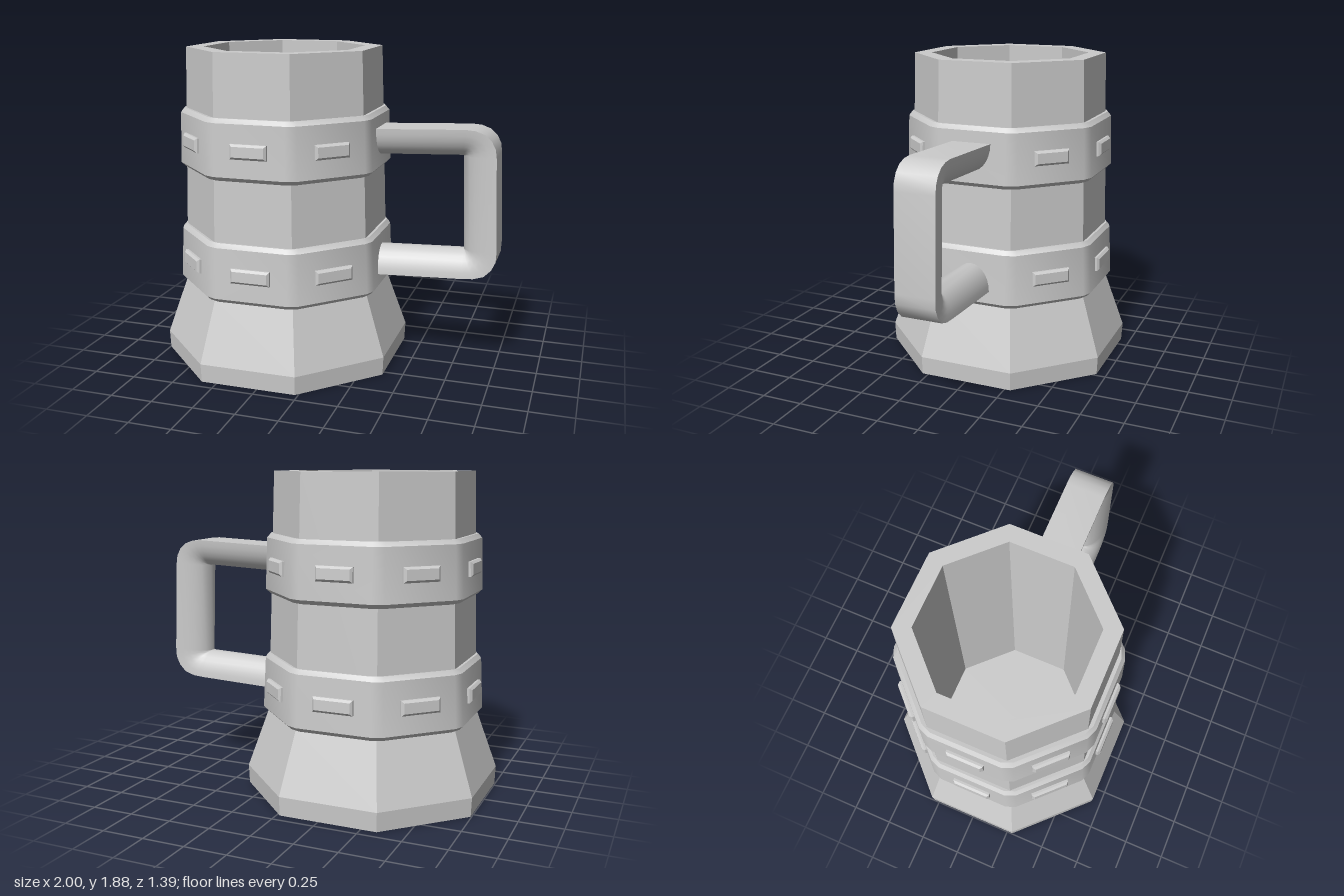
import * as THREE from 'three';
import { toCreasedNormals } from 'three/addons/utils/BufferGeometryUtils.js';

const material = new THREE.MeshStandardMaterial({ color: 0xcccccc, side: THREE.DoubleSide });
const BODY_X = -0.305;

// Skin a series of closed rings that all have the same number of points
function loft(rings, crease) {
  const n = rings[0].length;
  const pos = rings.flat(2);
  const index = [];
  for (let i = 0; i < rings.length - 1; i++) {
    for (let j = 0; j < n; j++) {
      const a = i * n + j, b = i * n + (j + 1) % n;
      index.push(a, a + n, b + n, a, b + n, b);
    }
  }
  const geometry = new THREE.BufferGeometry();
  geometry.setAttribute('position', new THREE.Float32BufferAttribute(pos, 3));
  geometry.setIndex(index);
  return toCreasedNormals(geometry, crease);
}

// Octagon of given apothem with faces on the axes; cut trims its corners
function octagon(apothem, y, cut = 0) {
  const ring = [];
  const half = apothem * Math.tan(Math.PI / 8) - cut;
  for (let k = 0; k < 8; k++) {
    const a = k * Math.PI / 4, c = Math.cos(a), s = Math.sin(a);
    for (const t of cut > 0 ? [-half, half] : [half]) {
      ring.push([apothem * c - t * s, y, apothem * s + t * c]);
    }
  }
  return ring;
}

function mesh(name, geometry) {
  const m = new THREE.Mesh(geometry, material);
  m.name = name;
  return m;
}

// Bevelled rectangular stud facing +z
function studGeometry(w, h) {
  const rect = (inset, z) => {
    const x = Math.max(w / 2 - inset, 0), y = Math.max(h / 2 - inset, 0);
    return [[-x, -y, z], [-x, y, z], [x, y, z], [x, -y, z]];
  };
  return loft([rect(0, -0.02), rect(0, 0.013), rect(0.013, 0.026), rect(1, 0.026)], 0.2);
}

// Band: bevelled hoop with trimmed corners and a stud on every face but the handle's
function createBand(name, y0, rBottom, rTop, studW) {
  const band = new THREE.Group();
  band.name = name;
  const h = 0.35, b = 0.025, cut = 0.035;
  const profile = [
    [rBottom - 0.07, y0 + 0.005], [rBottom - b, y0], [rBottom, y0 + b],
    [rTop, y0 + h - b], [rTop - 0.02, y0 + h], [rTop - 0.07, y0 + h - 0.005],
  ];
  band.add(mesh('hoop', loft(profile.map(([r, y]) => octagon(r, y, cut)), 0.45)));
  const geometry = studGeometry(studW, 0.085);
  for (let k = 0; k < 8; k++) {
    if (k === 2) continue;
    const pivot = new THREE.Group();
    pivot.name = 'studMount';
    pivot.rotation.y = k * Math.PI / 4;
    const stud = mesh('stud', geometry);
    stud.position.set(0, y0 + h / 2, (rBottom + rTop) / 2);
    stud.rotation.x = -0.04;
    pivot.add(stud);
    band.add(pivot);
  }
  band.position.x = BODY_X;
  return band;
}

// Handle: D-shaped section, flat outside and round inside, with rounded outer corners
function createHandle() {
  const upper = [[0.8, 1.453], [0.855, 1.448], [0.905, 1.43], [0.945, 1.395], [0.968, 1.35], [0.975, 1.3]];
  const lower = [[0.998, 0.76], [0.995, 0.7], [0.972, 0.65], [0.93, 0.607], [0.87, 0.588], [0.8, 0.582]];
  const stations = [
    [[0.22, 1.43], [0.22, 1.267]],
    ...upper.map((p) => [p, [0.775, 1.29]]),
    ...lower.map((p) => [p, [0.795, 0.74]]),
    [[0.22, 0.558], [0.22, 0.718]],
  ];
  const steps = 14, halfWidth = 0.118;
  const rings = stations.map(([o, i]) => {
    const ring = [];
    for (let j = 0; j <= steps; j++) {
      const t = Math.PI * j / steps, s = Math.sin(t);
      ring.push([o[0] + (i[0] - o[0]) * s, o[1] + (i[1] - o[1]) * s, -halfWidth * Math.cos(t)]);
    }
    return ring;
  });
  return mesh('handle', loft(rings, 0.6));
}

export function createModel() {
  const model = new THREE.Group();
  model.name = 'tankard';

  // Body: flared foot, tapering wall, rim and hollow interior
  const profile = [
    [0, 0], [0.69, 0], [0.695, 0.11], [0.575, 0.47], [0.535, 1.88],
    [0.44, 1.88], [0.44, 0.2], [0, 0.2],
  ];
  const body = mesh('body', loft(profile.map(([r, y]) => octagon(r, y)), 0.1));
  body.position.x = BODY_X;
  model.add(body);

  model.add(createBand('lowerBand', 0.465, 0.615, 0.601, 0.235));
  model.add(createBand('upperBand', 1.175, 0.596, 0.586, 0.215));
  model.add(createHandle());
  return model;
}
